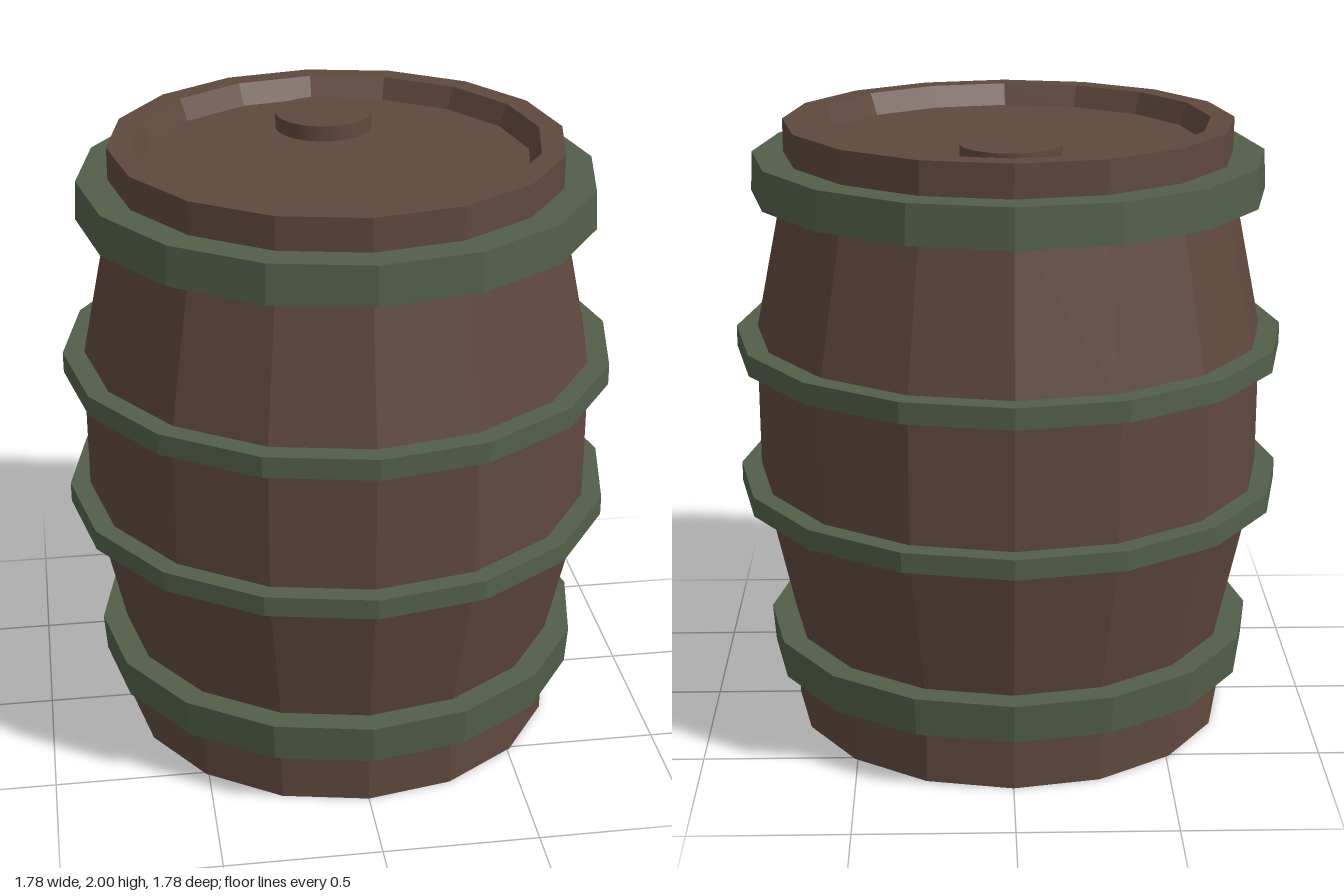
import * as THREE from 'three';

const SIDES = 16;
const wood = new THREE.MeshStandardMaterial({ color: 0x5f483d, flatShading: true });
const woodSmooth = new THREE.MeshStandardMaterial({ color: 0x5f483d });
const metal = new THREE.MeshStandardMaterial({ color: 0x525f4a, flatShading: true });

// Turns a profile of [radius, height] pairs into a faceted solid of revolution
function turned(name, profile, material) {
  const points = profile.map(([r, y]) => new THREE.Vector2(r, y));
  const mesh = new THREE.Mesh(new THREE.LatheGeometry(points, SIDES), material);
  mesh.name = name;
  return mesh;
}

// Closed ring around the barrel
function hoop(name, y0, y1, r0, r1, inner) {
  return turned(name, [[inner, y0], [r0, y0], [r1, y1], [inner, y1], [inner, y0]], metal);
}

export function createModel() {
  const barrel = new THREE.Group();
  barrel.name = 'barrel';

  // Staves, both rims and the sunken lid in one profile
  barrel.add(turned('body', [
    [0.56, 0.065], [0.645, 0], [0.72, 0], [0.72, 0.3], [0.825, 0.78],
    [0.825, 1.3], [0.72, 1.81], [0.72, 2], [0.645, 2], [0.615, 1.93], [0, 1.93],
  ], wood));

  // Hoops, bottom to top
  barrel.add(
    hoop('bottomHoop', 0.2, 0.325, 0.797, 0.806, 0.7),
    hoop('lowerHoop', 0.78, 0.845, 0.89, 0.89, 0.8),
    hoop('upperHoop', 1.25, 1.318, 0.89, 0.89, 0.8),
    hoop('topHoop', 1.77, 1.895, 0.826, 0.82, 0.7),
  );

  // Bung standing on the lid near the back
  const bung = new THREE.Mesh(new THREE.CylinderGeometry(0.157, 0.157, 0.05, 32), woodSmooth);
  bung.name = 'bung';
  bung.position.set(0, 1.955, -0.32);
  barrel.add(bung);

  // Round plate closing the recessed underside
  const base = new THREE.Mesh(new THREE.CircleGeometry(0.565, 32), metal);
  base.name = 'basePlate';
  base.rotation.x = Math.PI / 2;
  base.position.y = 0.06;
  barrel.add(base);

  return barrel;
}
